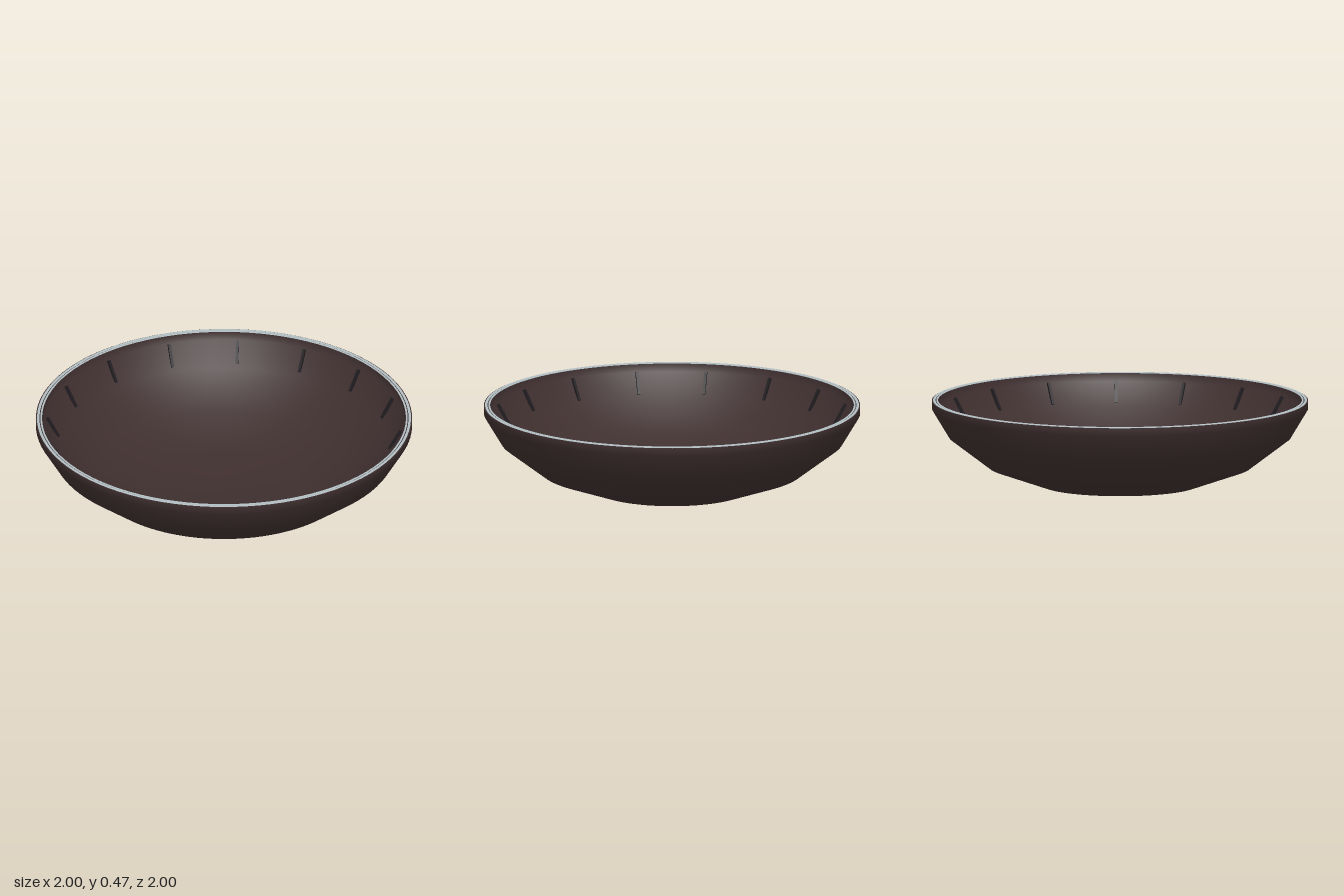
import * as THREE from 'three';

const mat = (name, color, side = THREE.FrontSide) => {
  const m = new THREE.MeshStandardMaterial({ color, side });
  m.name = name;
  return m;
};

export function createModel() {
  const brown = mat('dark brown', 0x3f2f2f);
  const silver = mat('pale silver', 0xb4c0c4);
  const ink = mat('dark ink', 0x211d22);
  const group = new THREE.Group();
  group.name = 'bowl';

  const add = (name, geometry, material, parent = group) => {
    const mesh = new THREE.Mesh(geometry, material);
    mesh.name = name;
    parent.add(mesh);
    return mesh;
  };
  const lathe = (points) =>
    new THREE.LatheGeometry(points.map(([r, y]) => new THREE.Vector2(r, y)), 96);

  // Shell: outer wall, flat rim and inner wall, kept apart for crisp rim edges
  add('outerWall', lathe([[0, 0], [0.42, 0.02], [0.7, 0.12], [0.91, 0.28], [1, 0.43], [1, 0.472]]), brown);
  add('rim', lathe([[1, 0.472], [0.965, 0.472]]), brown);
  add('innerWall', lathe([[0.965, 0.472], [0.96, 0.43], [0.87, 0.305], [0.67, 0.155], [0.4, 0.06], [0, 0.042]]), brown);

  // Two thin silver inlays on the rim
  for (const [inner, outer] of [[0.967, 0.976], [0.981, 0.994]]) {
    add('rimInlay', lathe([[outer, 0.471], [outer, 0.475], [inner, 0.475], [inner, 0.471]]), silver);
  }

  // Sixteen dark notches leaning along the inner wall
  const low = new THREE.Vector2(0.882, 0.325);
  const high = new THREE.Vector2(0.942, 0.435);
  const run = high.clone().sub(low);
  const notch = new THREE.BoxGeometry(0.014, run.length(), 0.015);
  notch.rotateX(Math.atan2(run.x, run.y));
  notch.translate(0, (low.y + high.y) / 2, (low.x + high.x) / 2);
  const notches = new THREE.Group();
  notches.name = 'notches';
  group.add(notches);
  for (let i = 0; i < 16; i++) {
    add('notch', notch, ink, notches).rotation.y = (i * Math.PI) / 8;
  }
  return group;
}
